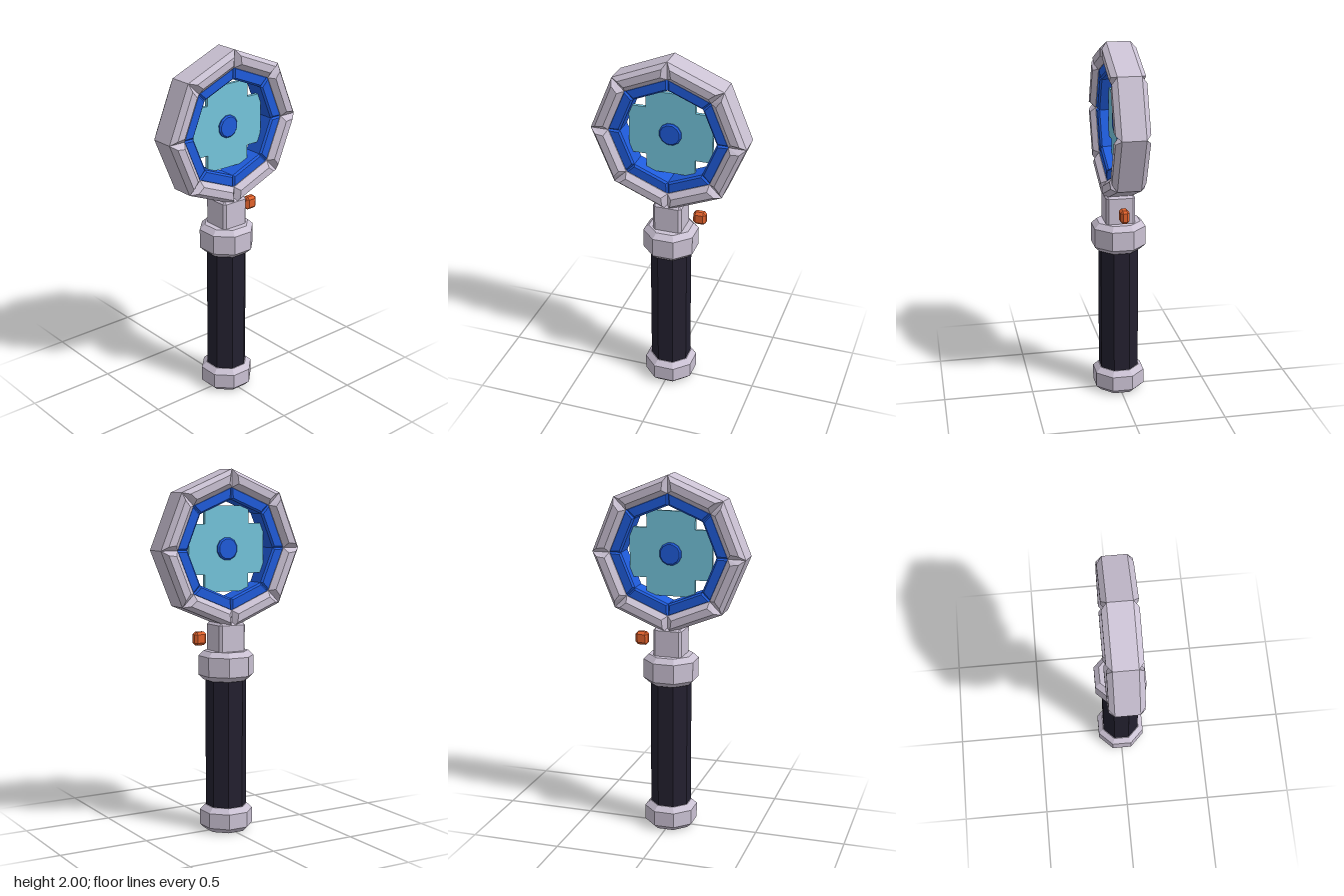
import * as THREE from 'three';
import { ConvexGeometry } from 'three/addons/geometries/ConvexGeometry.js';

const mat = (color, extra = {}) => new THREE.MeshStandardMaterial({ color, flatShading: true, ...extra });
const CENTRE_Y = 1.57;

function addMesh(parent, name, geometry, material, x = 0, y = 0, z = 0) {
  const mesh = new THREE.Mesh(geometry, material);
  mesh.name = name;
  mesh.position.set(x, y, z);
  parent.add(mesh);
  return mesh;
}

// Box with all edges chamfered by c
function chamferBox(w, h, d, c) {
  const half = [w / 2, h / 2, d / 2];
  const points = [];
  for (const sx of [-1, 1]) for (const sy of [-1, 1]) for (const sz of [-1, 1]) {
    for (let axis = 0; axis < 3; axis++) {
      const p = half.map((v, i) => (i === axis ? v : v - c));
      points.push(new THREE.Vector3(p[0] * sx, p[1] * sy, p[2] * sz));
    }
  }
  return new ConvexGeometry(points);
}

// Upright prism with flat sides facing the axes and chamfered ends
function prism(apothem, y0, y1, chamfer, sides = 8) {
  const k = 1 / Math.cos(Math.PI / sides);
  const r = apothem * k, inner = (apothem - chamfer) * k;
  const profile = [[0, y0], [inner, y0], [r, y0 + chamfer], [r, y1 - chamfer], [inner, y1], [0, y1]];
  return new THREE.LatheGeometry(profile.map(p => new THREE.Vector2(...p)), sides, Math.PI / sides);
}

// Octagonal ring made of eight mitred, bevelled bars
function barRing(name, outer, inner, depth, bevel, material) {
  const ring = new THREE.Group();
  ring.name = name;
  const a = Math.PI / 4;
  const shape = new THREE.Shape([
    new THREE.Vector2(inner, 0),
    new THREE.Vector2(outer, 0),
    new THREE.Vector2(outer * Math.cos(a), outer * Math.sin(a)),
    new THREE.Vector2(inner * Math.cos(a), inner * Math.sin(a)),
  ]);
  const bar = new THREE.ExtrudeGeometry(shape, {
    depth: depth - 2 * bevel, bevelThickness: bevel, bevelSize: bevel, bevelOffset: -bevel, bevelSegments: 1,
  });
  bar.translate(0, 0, bevel - depth / 2);
  for (let i = 0; i < 8; i++) addMesh(ring, name + 'Bar', bar, material).rotation.z = i * a;
  ring.position.y = CENTRE_Y;
  return ring;
}

export function createModel() {
  const model = new THREE.Group();
  model.name = 'handheldScanner';
  const metal = mat(0xcbc2d4), blue = mat(0x1f5cdc), grip = mat(0x23202f);
  const orange = mat(0xe2622c), glass = mat(0x74c5dc);

  // Handle
  addMesh(model, 'pommel', prism(0.137, 0, 0.14, 0.028), metal);
  addMesh(model, 'grip', prism(0.105, 0.1, 0.88, 0.005), grip);
  addMesh(model, 'collar', prism(0.142, 0.85, 1.012, 0.028), metal);
  addMesh(model, 'neck', chamferBox(0.162, 0.2, 0.162, 0.014), metal, 0, 1.07);

  // Button floating beside the neck
  addMesh(model, 'button', chamferBox(0.072, 0.074, 0.05, 0.014), orange, 0.167, 1.087);

  // Head rings
  model.add(barRing('frame', 0.43, 0.332, 0.184, 0.028, metal));
  model.add(barRing('innerRim', 0.338, 0.268, 0.125, 0.01, blue));

  // Stepped lens plate
  const l = 0.233, s = 0.137;
  const outline = [[l, -s], [l, s], [s, s], [s, l], [-s, l], [-s, s], [-l, s], [-l, -s], [-s, -s], [-s, -l], [s, -l], [s, -s]];
  const lens = new THREE.ExtrudeGeometry(new THREE.Shape(outline.map(p => new THREE.Vector2(...p))),
    { depth: 0.02, bevelEnabled: false });
  lens.translate(0, 0, -0.01);
  addMesh(model, 'lens', lens, glass, 0, CENTRE_Y);

  // Hub through the lens
  const hub = prism(0.061, -0.025, 0.025, 0.008, 12);
  hub.rotateX(Math.PI / 2);
  addMesh(model, 'hub', hub, blue, 0, CENTRE_Y);

  return model;
}
